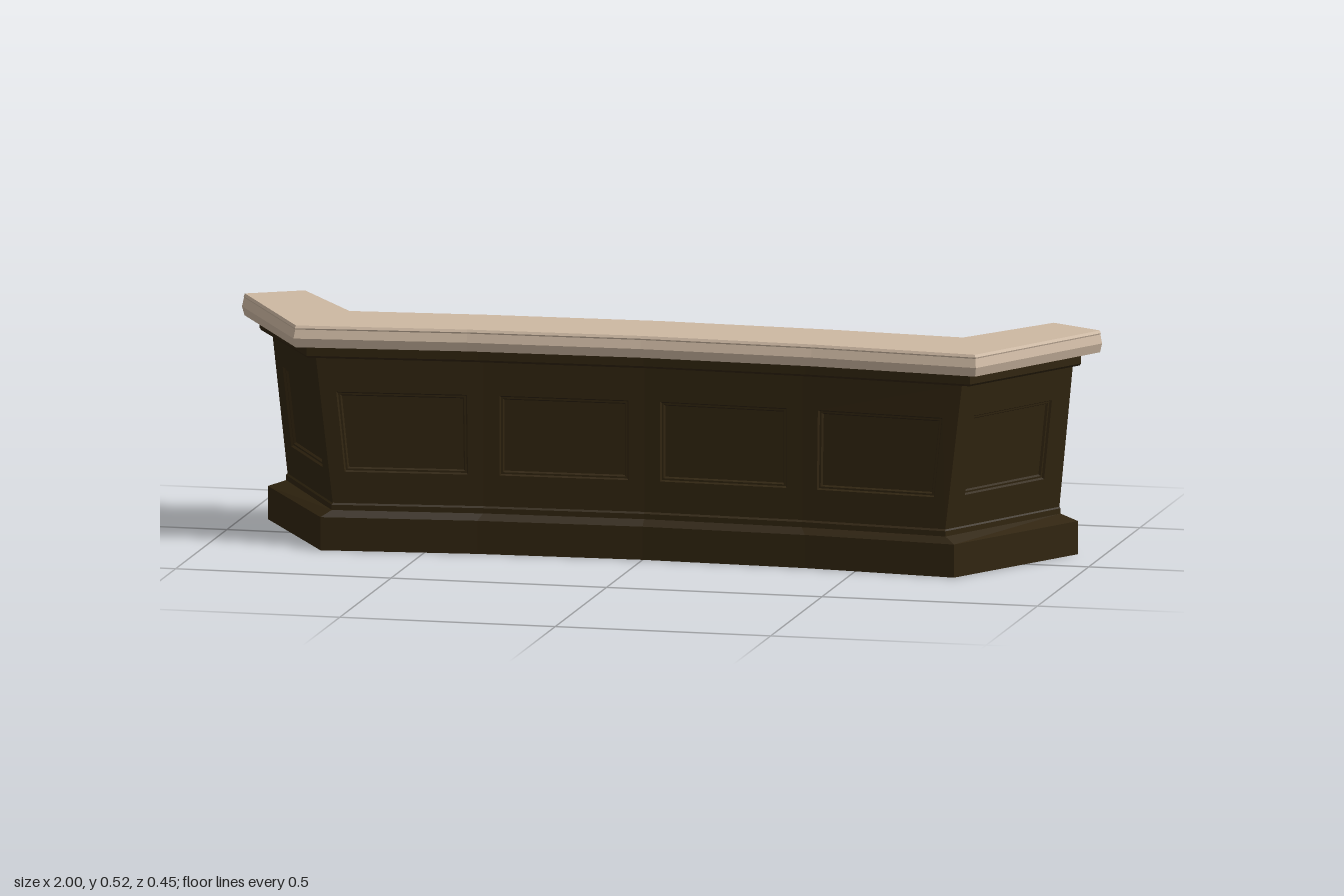
import * as THREE from 'three';

const wood = new THREE.MeshStandardMaterial({ color: 0x30240f });
wood.name = 'dark wood';
const stone = new THREE.MeshStandardMaterial({ color: 0xcdb8a2 });
stone.name = 'pale worktop';

// Half plan (wing end, corner, bend, centre) mirrored into a full run from -x to +x
const full = half => [
  ...half.map(([x, z]) => [-x, z]),
  ...half.slice(0, -1).reverse(),
];

// Mitred parallel of a plan line; wing and front may move by different amounts
function offset(pts, dWing, dFront = dWing) {
  const last = pts.length - 2;
  const segs = pts.slice(0, -1).map(([x, z], i) => {
    const dx = pts[i + 1][0] - x, dz = pts[i + 1][1] - z, l = Math.hypot(dx, dz);
    return { n: [-dz / l, dx / l], d: i === 0 || i === last ? dWing : dFront };
  });
  return pts.map(([x, z], i) => {
    const a = segs[Math.max(i - 1, 0)], b = segs[Math.min(i, last)];
    if (a === b) return [x + a.n[0] * a.d, z + a.n[1] * a.d];
    const det = a.n[0] * b.n[1] - a.n[1] * b.n[0];
    return [
      x + (a.d * b.n[1] - b.d * a.n[1]) / det,
      z + (b.d * a.n[0] - a.d * b.n[0]) / det,
    ];
  });
}

function quadMesh(name, quads, material) {
  const pos = [];
  for (const [a, b, c, d] of quads) pos.push(...a, ...b, ...c, ...a, ...c, ...d);
  const geo = new THREE.BufferGeometry();
  geo.setAttribute('position', new THREE.Float32BufferAttribute(pos, 3));
  geo.computeVertexNormals();
  const mesh = new THREE.Mesh(geo, material);
  mesh.name = name;
  return mesh;
}

// Solid wall through levels of { y, outer, inner } plan lines
function wall(name, levels, material, openFront = false) {
  const O = levels.map(l => l.outer.map(([x, z]) => [x, l.y, z]));
  const I = levels.map(l => l.inner.map(([x, z]) => [x, l.y, z]));
  const n = O[0].length - 1, top = levels.length - 1, quads = [];
  for (let k = 0; k < top; k++) {
    for (let i = 0; i < n; i++) {
      if (!openFront) quads.push([O[k][i], O[k][i + 1], O[k + 1][i + 1], O[k + 1][i]]);
      quads.push([I[k][i + 1], I[k][i], I[k + 1][i], I[k + 1][i + 1]]);
    }
    quads.push([O[k][0], O[k + 1][0], I[k + 1][0], I[k][0]]);
    quads.push([I[k][n], I[k + 1][n], O[k + 1][n], O[k][n]]);
  }
  for (let i = 0; i < n; i++) {
    quads.push([O[top][i], O[top][i + 1], I[top][i + 1], I[top][i]]);
    quads.push([I[0][i], I[0][i + 1], O[0][i + 1], O[0][i]]);
  }
  return quadMesh(name, quads, material);
}

// Wall face with a recessed panel, made of nested rectangular rings
function panelFace(name, corners, u0, u1, v0, v1) {
  const [a, b, c, d] = corners.map(p => new THREE.Vector3(...p));
  const width = a.distanceTo(b), height = a.distanceTo(d);
  const normal = b.clone().sub(a).cross(d.clone().sub(a)).normalize();
  const point = (u, v, depth) => a.clone().lerp(b, u)
    .lerp(d.clone().lerp(c, u), v).addScaledVector(normal, -depth).toArray();
  const ring = (s0, s1, t0, t1, depth) => [
    point(s0, t0, depth), point(s1, t0, depth), point(s1, t1, depth), point(s0, t1, depth),
  ];
  const rings = [ring(0, 1, 0, 1, 0)];
  for (const [inset, depth] of [[0, 0], [0.003, 0.005], [0.007, 0.005], [0.01, 0.01]]) {
    const du = inset / width, dv = inset / height;
    rings.push(ring(u0 + du, u1 - du, v0 + dv, v1 - dv, depth));
  }
  const quads = [rings[rings.length - 1]];
  for (let r = 0; r < rings.length - 1; r++) {
    for (let i = 0; i < 4; i++) {
      const j = (i + 1) % 4;
      quads.push([rings[r][i], rings[r][j], rings[r + 1][j], rings[r + 1][i]]);
    }
  }
  return quadMesh(name, quads, wood);
}

export function createModel() {
  const group = new THREE.Group();
  group.name = 'counter';

  const baseLine = full([[0.94, -0.148], [0.735, 0.201], [0.38, 0.163], [0, 0.148]]);
  const bodyLow = full([[0.895, -0.153], [0.71, 0.183], [0.37, 0.146], [0, 0.131]]);
  const bodyHigh = full([[0.93, -0.143], [0.75, 0.184], [0.37, 0.146], [0, 0.131]]);
  const mouldLine = full([[0.953, -0.122], [0.77, 0.191], [0.38, 0.155], [0, 0.14]]);
  const topLine = full([[0.992, -0.142], [0.788, 0.218], [0.4, 0.178], [0, 0.164]]);
  const topInner = full([[0.869, -0.211], [0.712, 0.015], [0.4, -0.011], [0, -0.026]]);

  // Plinth with sloping shoulder and a small bead
  const baseInner = offset(baseLine, -0.108);
  const lowInner = offset(bodyLow, -0.075);
  const bead = offset(bodyLow, 0.004);
  group.add(wall('plinth', [
    { y: 0, outer: baseLine, inner: baseInner },
    { y: 0.076, outer: baseLine, inner: baseInner },
    { y: 0.091, outer: bead, inner: offset(bodyLow, -0.078) },
    { y: 0.103, outer: bead, inner: offset(bodyLow, -0.078) },
    { y: 0.107, outer: bodyLow, inner: lowInner },
  ], wood));

  // Leaning body, faced with panelled boards
  const y0 = 0.1, y1 = 0.442;
  group.add(wall('body', [
    { y: y0, outer: bodyLow, inner: lowInner },
    { y: y1, outer: bodyHigh, inner: offset(bodyHigh, -0.057) },
  ], wood, true));
  for (let i = 0; i < bodyLow.length - 1; i++) {
    const at = (line, k, y) => [line[k][0], y, line[k][1]];
    const wing = i === 0 || i === bodyLow.length - 2;
    const span = !wing ? [0.1, 0.9] : i === 0 ? [0.16, 0.86] : [0.14, 0.84];
    group.add(panelFace(wing ? 'wingPanel' : 'frontPanel', [
      at(bodyLow, i, y0), at(bodyLow, i + 1, y0), at(bodyHigh, i + 1, y1), at(bodyHigh, i, y1),
    ], ...span, 0.23, 0.765));
  }

  // Moulding under the worktop
  const mouldInner = offset(mouldLine, -0.114);
  group.add(wall('topMoulding', [
    { y: 0.438, outer: offset(mouldLine, -0.004), inner: offset(mouldLine, -0.11) },
    { y: 0.443, outer: mouldLine, inner: mouldInner },
    { y: 0.468, outer: mouldLine, inner: mouldInner },
  ], wood));

  // Worktop with a shaped edge on both sides
  group.add(wall('worktop', [[0.467, 0.001], [0.488, 0.007], [0.508, 0.002], [0.511, 0.003], [0.517, 0]]
    .map(([y, d]) => ({ y, outer: offset(topLine, d), inner: offset(topInner, -d) })), stone));

  // Thin inner shelf between the wings
  const shelfFront = full([[0.69, 0.14], [0.37, 0.115], [0, 0.1]]);
  const shelfBack = full([[0.85, -0.177], [0.4, -0.214], [0, -0.227]]);
  group.add(wall('innerShelf', [0.389, 0.398]
    .map(y => ({ y, outer: shelfFront, inner: shelfBack })), wood));

  return group;
}
